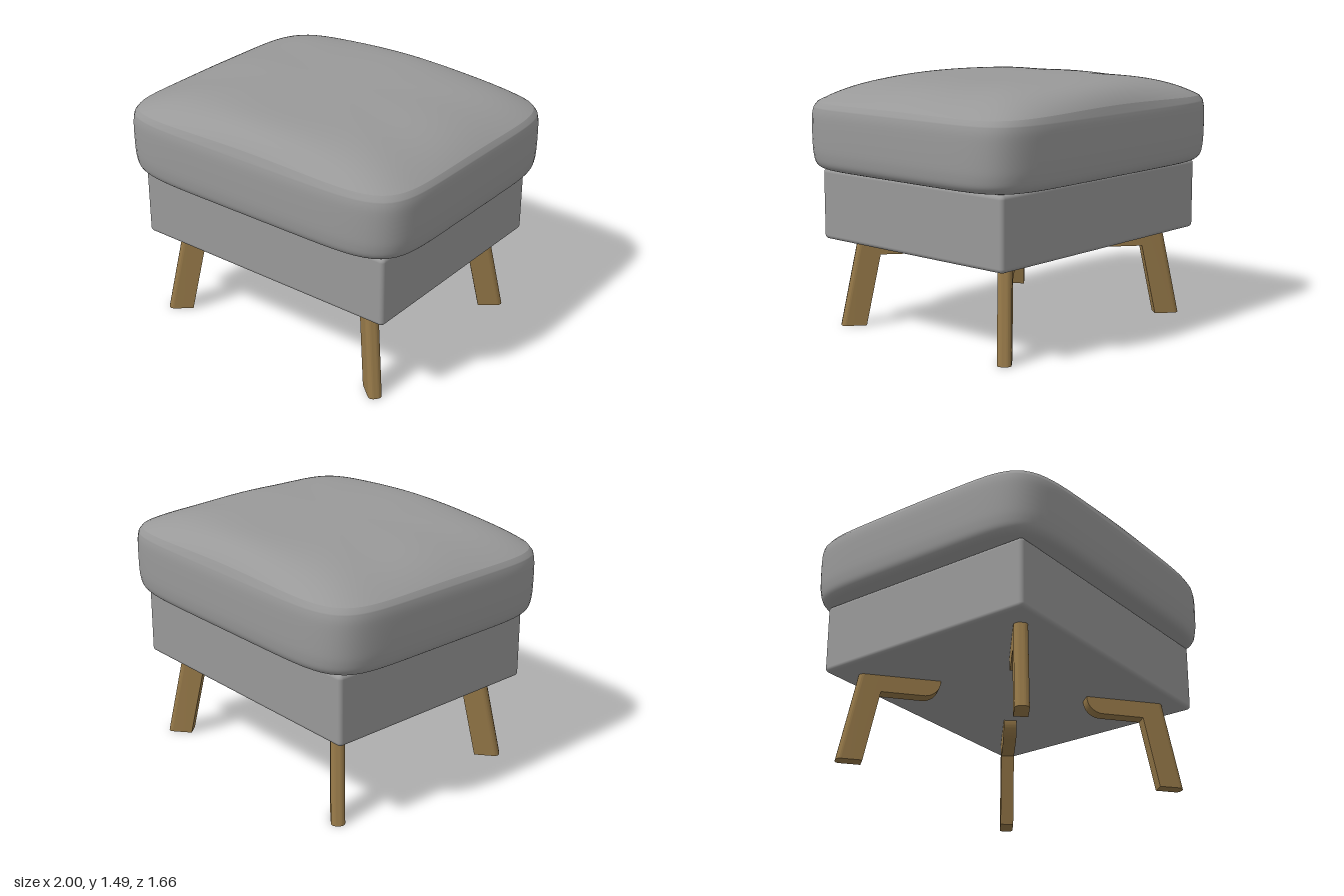
import * as THREE from 'three';
import { toCreasedNormals } from 'three/addons/utils/BufferGeometryUtils.js';
import { RoundedBoxGeometry } from 'three/addons/geometries/RoundedBoxGeometry.js';

const fabric = new THREE.MeshStandardMaterial({ color: 0x999999 });
fabric.name = 'greyFabric';
const wood = new THREE.MeshStandardMaterial({ color: 0x957848 });
wood.name = 'oakWood';

function addMesh(parent, name, geometry, material) {
  const mesh = new THREE.Mesh(geometry, material);
  mesh.name = name;
  parent.add(mesh);
  return mesh;
}

// Plump cushion: rounded-rectangle rings running from the flat underside, up the sides and over the dome
function cushionGeometry() {
  const halfX = 1, halfZ = 0.83, segments = 160, power = 7;
  const side = new THREE.SplineCurve([
    [0.85, 0.95], [0.94, 0.957], [0.98, 0.985], [0.995, 1.04], [1, 1.12], [1, 1.26], [0.991, 1.32],
  ].map(([s, y]) => new THREE.Vector2(s, y))).getPoints(30);
  const rings = [{ s: 0, y: 0.95 }, { s: 0.5, y: 0.95 }];
  side.forEach((p) => rings.push({ s: p.x, y: p.y }));
  const domeSteps = 32;
  for (let i = 0; i <= domeSteps; i++) {
    const k = 1 - i / domeSteps;
    rings.push({ s: 0.972 * (1 - (1 - k) ** 2), dome: true });
  }

  const positions = [], index = [];
  rings.forEach((ring, j) => {
    for (let i = 0; i < segments; i++) {
      const t = (i / segments) * Math.PI * 2;
      const c = Math.cos(t), d = Math.sin(t);
      const r = ring.s / (Math.abs(c) ** power + Math.abs(d) ** power) ** (1 / power);
      // The dome falls off gently to the sides and corners, more abruptly to front and back
      const falloff = 4.5 + 4.5 * d * d - 2.5 * Math.sin(2 * t) ** 2;
      const y = ring.dome ? 1.33 + 0.155 * (1 - ring.s ** falloff) : ring.y;
      positions.push(halfX * r * c, y, halfZ * r * d);
      if (j < rings.length - 1) {
        const a = j * segments + i, b = j * segments + ((i + 1) % segments);
        index.push(a, a + segments, b, b, a + segments, b + segments);
      }
    }
  });
  const geometry = new THREE.BufferGeometry();
  geometry.setAttribute('position', new THREE.Float32BufferAttribute(positions, 3));
  geometry.setIndex(index);
  geometry.computeVertexNormals();
  return geometry;
}

const LEG_THICKNESS = 0.08, LEG_WIDTH = 0.15, LEG_TOP = 0.54, LEG_SLOPE = 0.207;

// Splayed post: section with rounded outer corners, extruded upwards and sheared inwards
function postGeometry() {
  const h = LEG_THICKNESS / 2, w = LEG_WIDTH, r = 0.03;
  const section = new THREE.Shape();
  section.moveTo(0, -h);
  section.lineTo(w - r, -h);
  section.absarc(w - r, -h + r, r, -Math.PI / 2, 0, false);
  section.absarc(w - r, h - r, r, 0, Math.PI / 2, false);
  section.lineTo(0, h);
  section.closePath();
  const geometry = new THREE.ExtrudeGeometry(section, { depth: LEG_TOP, bevelEnabled: false, curveSegments: 8 });
  geometry.rotateX(-Math.PI / 2);
  const p = geometry.attributes.position;
  for (let i = 0; i < p.count; i++) p.setX(i, p.getX(i) - LEG_SLOPE * p.getY(i));
  geometry.computeVertexNormals();
  return toCreasedNormals(geometry, 0.6);
}

// Mounting arm under the base, with a rounded inner end
function armGeometry() {
  const low = 0.43, r = 0.1, tip = -0.44;
  const shape = new THREE.Shape();
  shape.moveTo(-LEG_SLOPE * low + 0.01, low);
  shape.lineTo(-LEG_SLOPE * LEG_TOP + 0.01, LEG_TOP);
  shape.lineTo(tip, LEG_TOP);
  shape.lineTo(tip, low + r);
  shape.absarc(tip + r, low + r, r, Math.PI, Math.PI * 1.5, false);
  shape.closePath();
  const geometry = new THREE.ExtrudeGeometry(shape, { depth: LEG_THICKNESS, bevelEnabled: false, curveSegments: 12 });
  geometry.translate(0, 0, -LEG_THICKNESS / 2);
  return toCreasedNormals(geometry, 0.6);
}

export function createModel() {
  const model = new THREE.Group();
  model.name = 'footstool';

  addMesh(model, 'seatCushion', cushionGeometry(), fabric);

  // Upholstered box base
  const base = addMesh(model, 'upholsteredBase', new RoundedBoxGeometry(1.75, 0.42, 1.42, 5, 0.025), fabric);
  base.position.y = 0.742;

  // Four legs pointing outwards along the diagonals
  const post = postGeometry(), arm = armGeometry();
  const angle = THREE.MathUtils.degToRad(39.5);
  for (const sx of [1, -1]) {
    for (const sz of [1, -1]) {
      const leg = new THREE.Group();
      leg.name = (sz > 0 ? 'front' : 'back') + (sx > 0 ? 'Left' : 'Right') + 'Leg';
      addMesh(leg, 'legPost', post, wood);
      addMesh(leg, 'legArm', arm, wood);
      leg.position.set(sx * 0.686, 0, sz * 0.56);
      leg.rotation.y = Math.atan2(-sz * Math.sin(angle), sx * Math.cos(angle));
      model.add(leg);
    }
  }
  return model;
}
